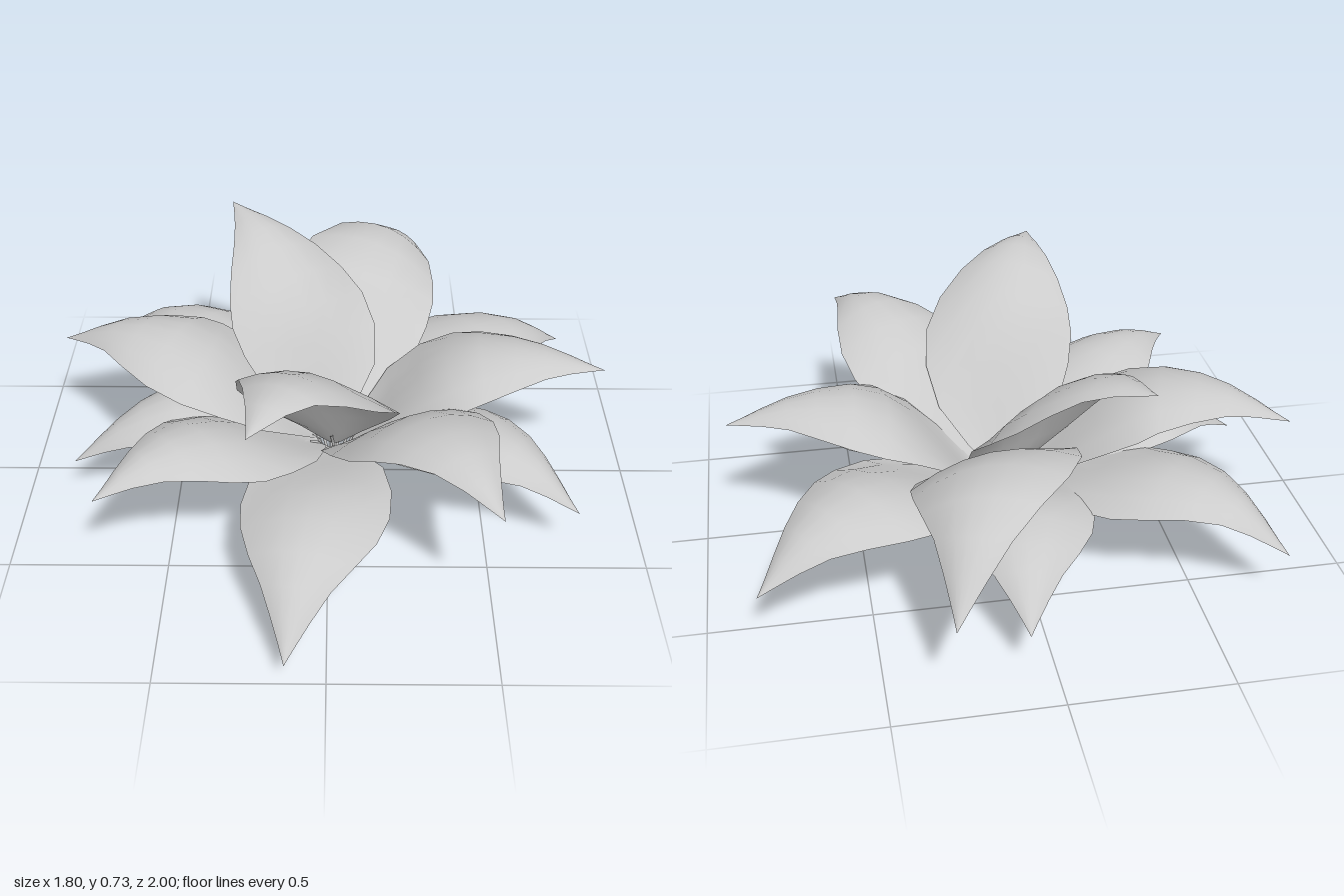
import * as THREE from 'three';

const V = (x, y, z) => new THREE.Vector3(x, y, z);
const ROOT = V(0.02, 0.006, 0);

// Each leaf: middle of the blade, height of the shoulder beyond it, tip, half width, roll about the midrib
const LEAVES = [
  [[0.13, 0.53, -0.48], 0.54, [0.31, 0.3, -1.0], 0.26, 0.25],
  [[0.02, 0.33, -0.46], 0.29, [0.08, 0.15, -0.87], 0.22, 0],
  [[0.47, 0.36, -0.33], 0.32, [0.84, 0.17, -0.58], 0.25, 0],
  [[0.41, 0.47, -0.01], 0.49, [0.9, 0.42, 0.01], 0.24, 0],
  [[0.45, 0.35, 0.22], 0.31, [0.785, 0.16, 0.43], 0.2, 0],
  [[0.28, 0.51, 0.4], 0.55, [0.495, 0.455, 0.825], 0.24, 0],
  [[-0.04, 0.3, 0.52], 0.27, [-0.12, 0.07, 1.0], 0.23, 0],
  [[-0.04, 0.61, 0.33], 0.73, [-0.22, 0.69, 0.77], 0.25, 0],
  [[-0.38, 0.4, 0.33], 0.4, [-0.7, 0.32, 0.58], 0.22, 0],
  [[-0.45, 0.35, 0.06], 0.29, [-0.835, 0.15, 0.16], 0.2, 0],
  [[-0.43, 0.48, -0.06], 0.49, [-0.9, 0.385, -0.23], 0.25, 0],
  [[-0.45, 0.36, -0.39], 0.32, [-0.765, 0.17, -0.655], 0.23, 0],
  [[-0.09, 0.56, -0.22], 0.71, [-0.34, 0.73, -0.58], 0.25, 0],
];

// Half width along the blade: [position, share of the widest]
const OUTLINE = [[0, 0.1], [0.08, 0.42], [0.2, 0.8], [0.33, 0.97], [0.45, 1], [0.57, 0.9],
  [0.69, 0.69], [0.79, 0.45], [0.88, 0.25], [0.95, 0.1], [1, 0]];
const COLS = 6;

// Blade swept along its midrib: cupped at the base, edges drooping further out
function bladeGeometry(midrib, halfWidth, roll) {
  const pos = [], index = [];
  OUTLINE.forEach(([t, share], row) => {
    const p = midrib.getPointAt(t), tangent = midrib.getTangentAt(t);
    const side = V(tangent.z, 0, -tangent.x).normalize().applyAxisAngle(tangent, roll);
    const normal = tangent.clone().cross(side).normalize();
    const bend = THREE.MathUtils.lerp(0.06, -0.08, Math.min(1, t / 0.5)) * share;
    for (let c = 0; c <= COLS; c++) {
      const s = (c / COLS) * 2 - 1;
      const q = p.clone().addScaledVector(side, s * share * halfWidth).addScaledVector(normal, bend * s * s);
      pos.push(q.x, q.y, q.z);
      if (row && c) {
        const d = row * (COLS + 1) + c, a = d - COLS - 2;
        index.push(a, d - 1, a + 1, a + 1, d - 1, d);
      }
    }
  });
  const g = new THREE.BufferGeometry();
  g.setAttribute('position', new THREE.Float32BufferAttribute(pos, 3));
  g.setIndex(index);
  g.computeVertexNormals();
  return g;
}

export function createModel() {
  const plant = new THREE.Group();
  plant.name = 'plant';
  const leafMat = new THREE.MeshStandardMaterial({ color: 0xcccccc, side: THREE.DoubleSide });
  const stemMat = new THREE.MeshStandardMaterial({ color: 0xcccccc });

  LEAVES.forEach(([m, shoulderY, t, halfWidth, roll], i) => {
    const mid = V(...m), tip = V(...t);
    const out = V(mid.x - ROOT.x, 0, mid.z - ROOT.z).normalize();
    const base = ROOT.clone().addScaledVector(out, mid.y > 0.55 ? 0.035 : 0.06).setY(0.14);
    const shoulder = mid.clone().lerp(tip, 0.53).setY(shoulderY);
    const midrib = new THREE.CatmullRomCurve3([base, mid, shoulder, tip]);

    const leaf = new THREE.Group();
    leaf.name = 'leaf' + (i + 1);
    const blade = new THREE.Mesh(bladeGeometry(midrib, halfWidth, roll), leafMat);
    blade.name = 'blade';

    // thin stalk from the shared root into the blade
    const foot = ROOT.clone().addScaledVector(out, 0.01);
    const path = new THREE.CatmullRomCurve3([foot, foot.clone().lerp(base, 0.5), base, midrib.getPointAt(0.06)]);
    const stalk = new THREE.Mesh(new THREE.TubeGeometry(path, 6, 0.005, 5), stemMat);
    stalk.name = 'stalk';
    leaf.add(blade, stalk);
    plant.add(leaf);
  });

  // small root where the stalks meet
  const root = new THREE.Mesh(new THREE.CylinderGeometry(0.014, 0.012, 0.02, 8), stemMat);
  root.name = 'root';
  root.position.set(ROOT.x, 0.01, ROOT.z);
  plant.add(root);
  return plant;
}
